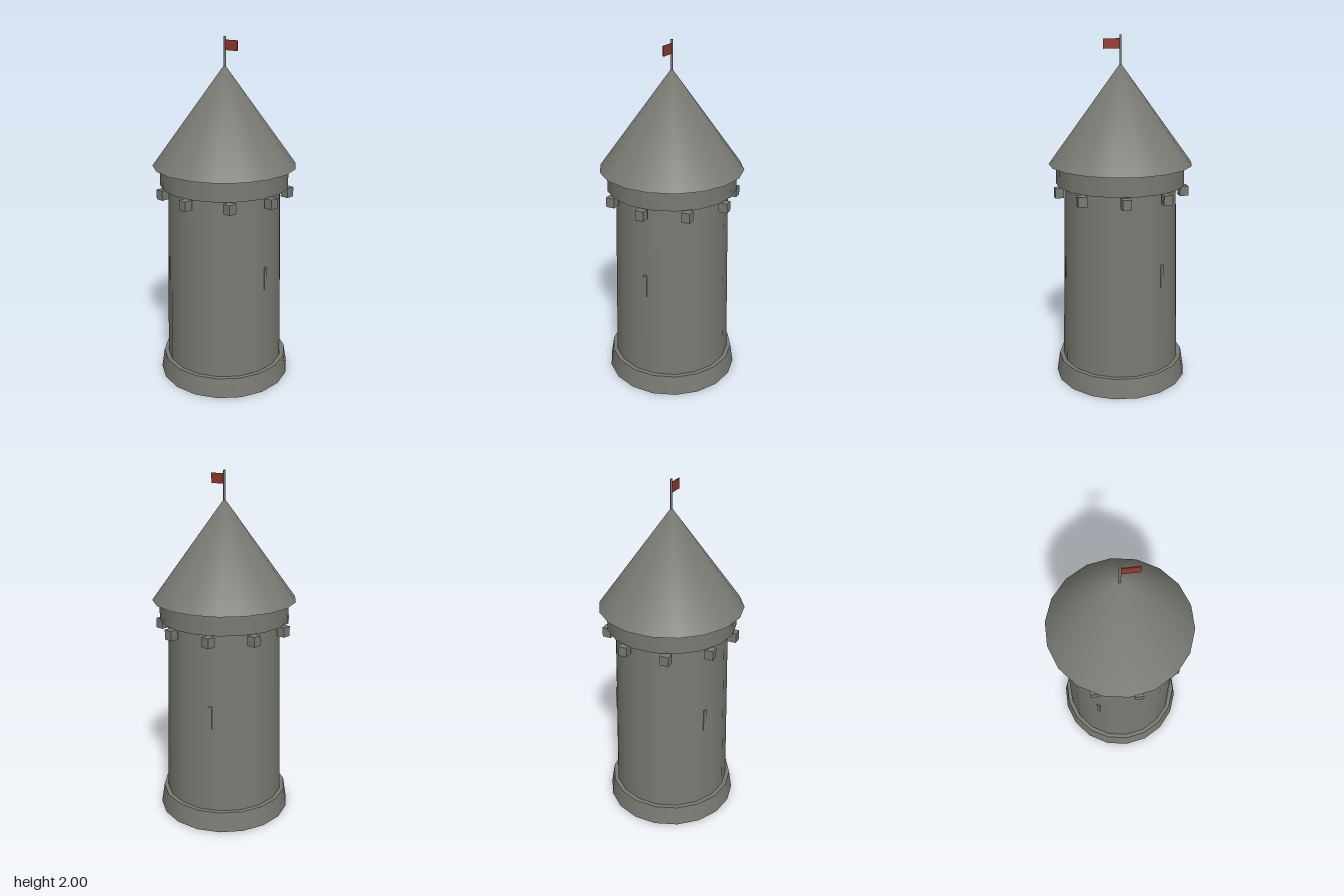
import * as THREE from 'three';
import { mergeVertices } from 'three/addons/utils/BufferGeometryUtils.js';

const SIDES = 18;

export function createModel() {
  const tower = new THREE.Group();
  tower.name = 'tower';
  const stone = new THREE.MeshStandardMaterial({ color: 0x7a7a73 });
  stone.name = 'stone';
  const red = new THREE.MeshStandardMaterial({ color: 0x96392f });
  red.name = 'flagRed';

  function add(name, geometry, material, x = 0, y = 0, z = 0) {
    const mesh = new THREE.Mesh(geometry, material);
    mesh.name = name;
    mesh.position.set(x, y, z);
    tower.add(mesh);
    return mesh;
  }

  // Upright round section between two heights
  function section(name, rTop, rBottom, y0, y1) {
    add(name, new THREE.CylinderGeometry(rTop, rBottom, y1 - y0, SIDES), stone, 0, (y0 + y1) / 2);
  }
  section('base', 0.372, 0.39, 0, 0.115);
  section('shaft', 0.322, 0.348, 0.1, 1.18);
  section('parapet', 0.37, 0.37, 1.175, 1.292);

  // Roof: one shared apex so the shading rounds over the tip
  let roof = new THREE.ConeGeometry(0.41, 0.56, SIDES, 1, true);
  roof.deleteAttribute('normal');
  roof.deleteAttribute('uv');
  roof = mergeVertices(roof, 1e-4);
  roof.computeVertexNormals();
  add('roof', roof, stone, 0, 1.57);

  // Roof underside, with its corners lined up with the roof's
  const eaves = new THREE.CircleGeometry(0.41, SIDES);
  eaves.rotateX(Math.PI / 2);
  eaves.rotateY(Math.PI / 2);
  add('roofUnderside', eaves, stone, 0, 1.29);

  // Ring of square corbels, all aligned to the axes
  for (let i = 0; i < 9; i++) {
    const a = (i / 9) * Math.PI * 2;
    add('corbel', new THREE.BoxGeometry(0.05, 0.056, 0.05), stone,
      0.36 * Math.cos(a), 1.137, 0.36 * Math.sin(a));
  }

  // Three narrow arrow slits, facing outward
  for (let i = 0; i < 3; i++) {
    const a = (i / 3) * Math.PI * 2;
    const slit = add('arrowSlit', new THREE.BoxGeometry(0.02, 0.135, 0.02), stone,
      0.324 * Math.cos(a), 0.685, 0.324 * Math.sin(a));
    slit.rotation.y = -a;
  }

  // Flag on its pole
  add('flagPole', new THREE.CylinderGeometry(0.007, 0.007, 0.17, 6), stone, 0, 1.915);
  add('flag', new THREE.BoxGeometry(0.096, 0.055, 0.005), red, 0.05, 1.954, 0);

  return tower;
}
